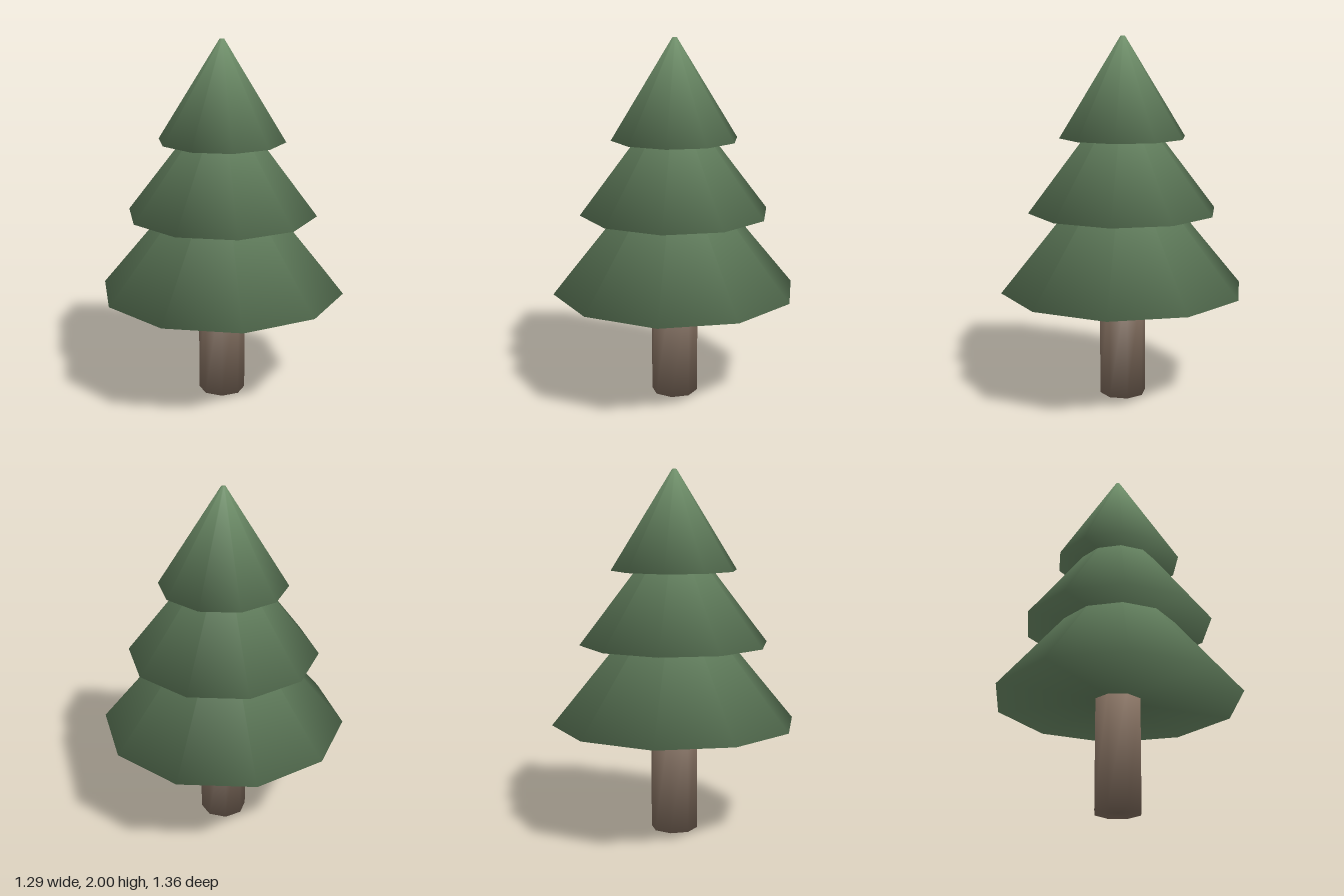
import * as THREE from 'three';
import { mergeVertices } from 'three/addons/utils/BufferGeometryUtils.js';

const barkMaterial = new THREE.MeshStandardMaterial({ color: 0x8a7565 });
const needleMaterial = new THREE.MeshStandardMaterial({ color: 0x6d8d68 });

// Capped low-poly cone or cylinder between two heights, with its rims shaded
// softly: topTilt and bottomTilt are the vertical lean of the rim normals.
function softCylinder(rTop, rBottom, yBottom, yTop, sides, topTilt, bottomTilt) {
  let geometry = new THREE.CylinderGeometry(rTop, rBottom, yTop - yBottom, sides);
  geometry.deleteAttribute('normal');
  geometry.deleteAttribute('uv');
  geometry = mergeVertices(geometry);
  const position = geometry.attributes.position;
  const normals = [];
  const n = new THREE.Vector3();
  for (let i = 0; i < position.count; i++) {
    n.fromBufferAttribute(position, i);
    const up = n.y > 0;
    n.y = 0;
    if (n.length() < 1e-4) {
      n.set(0, up ? 1 : -1, 0);
    } else {
      const tilt = up ? topTilt : bottomTilt;
      n.setLength(Math.sqrt(1 - tilt * tilt));
      n.y = tilt;
    }
    normals.push(n.x, n.y, n.z);
  }
  geometry.setAttribute('normal', new THREE.Float32BufferAttribute(normals, 3));
  geometry.translate(0, (yTop + yBottom) / 2, 0);
  return geometry;
}

export function createModel() {
  const tree = new THREE.Group();
  tree.name = 'pineTree';

  // Trunk: eight sides, its top buried in the lowest tier
  const trunk = new THREE.Mesh(softCylinder(0.13, 0.13, 0, 0.68, 8, 0.63, -0.63), barkMaterial);
  trunk.name = 'trunk';
  tree.add(trunk);

  // Foliage: three overlapping ten-sided cones with blunt tips
  const tiers = [
    { name: 'lowerFoliage', radius: 0.68, bottom: 0.61, top: 1.42 },
    { name: 'middleFoliage', radius: 0.525, bottom: 1.05, top: 1.72 },
    { name: 'upperFoliage', radius: 0.35, bottom: 1.455, top: 2 },
  ];
  for (const { name, radius, bottom, top } of tiers) {
    const tier = new THREE.Mesh(softCylinder(0.012, radius, bottom, top, 10, 0.83, -0.39), needleMaterial);
    tier.name = name;
    tree.add(tier);
  }
  return tree;
}
